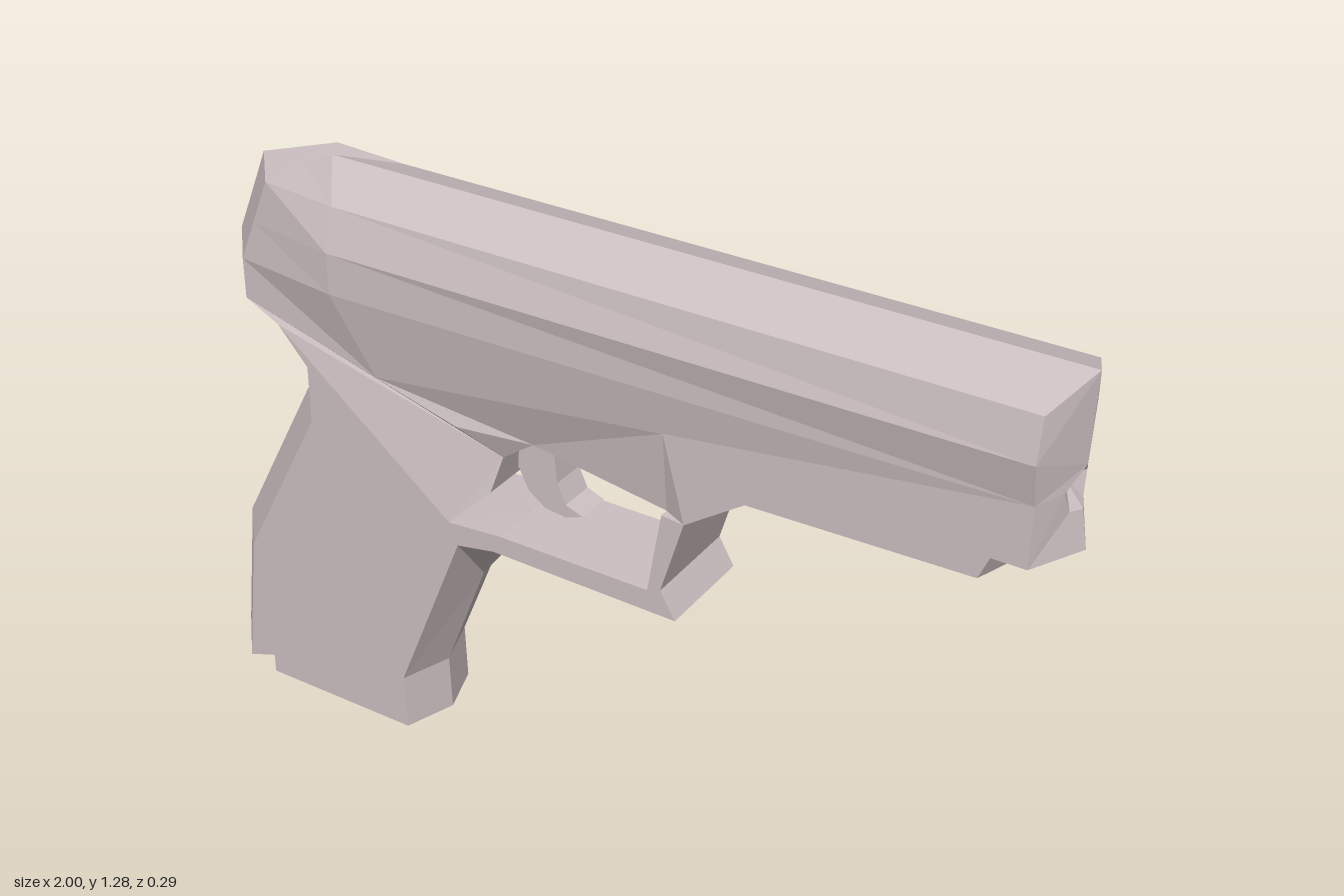
import * as THREE from 'three';

const W = 0.115; // half thickness of the flat frame
const material = new THREE.MeshStandardMaterial({ color: 0xccbfc1, flatShading: true, side: THREE.DoubleSide });

// Mesh from polygons of the +z half, mirrored to the other side
function halfMesh(name, faces) {
  const pos = [];
  for (const f of faces) {
    for (let i = 1; i < f.length - 1; i++) {
      const [a, b, c] = [f[0], f[i], f[i + 1]];
      pos.push(...a, ...b, ...c);
      for (const p of [a, c, b]) pos.push(p[0], p[1], -p[2]);
    }
  }
  const geo = new THREE.BufferGeometry();
  geo.setAttribute('position', new THREE.Float32BufferAttribute(pos, 3));
  geo.computeVertexNormals();
  const mesh = new THREE.Mesh(geo, material);
  mesh.name = name;
  return mesh;
}

// Plate from a counter-clockwise outline of [x, y, dx, dy, halfWidth];
// dx, dy shift the centre line to make wedge-shaped edges. The first n edges get walls.
function plateFaces(outline, n) {
  const side = outline.map(([x, y, , , w = W]) => [x, y, w]);
  const mid = outline.map(([x, y, dx = 0, dy = 0]) => [x + dx, y + dy, 0]);
  const flat = outline.map(([x, y]) => new THREE.Vector2(x, y));
  const faces = THREE.ShapeUtils.triangulateShape(flat, []).map((t) => t.map((i) => side[i]));
  for (let i = 0; i < n; i++) {
    const j = (i + 1) % outline.length;
    faces.push([side[i], mid[i], mid[j], side[j]]);
  }
  return faces;
}

function slideFaces() {
  // Cross-sections from ridge down to the lower crease: rear, body start, muzzle
  const rings = [
    [[-0.73, 1.25, 0], [-0.73, 1.25, W], [-0.772, 1.15, W], [-0.81, 1.06, W], [-0.81, 0.97, W]],
    [[-0.65, 1.285, 0], [-0.56, 1.24, 0.12], [-0.56, 1.15, 0.147], [-0.56, 1.06, 0.147], [-0.48, 0.88, W]],
    [[0.985, 1.285, 0], [0.94, 1.24, 0.12], [0.94, 1.15, 0.135], [0.94, 1.06, W], [0.94, 1.06, W]],
  ];
  const faces = [];
  for (let i = 0; i < 2; i++) {
    for (let j = 0; j < 4; j++) {
      faces.push([rings[i][j], rings[i][j + 1], rings[i + 1][j + 1], rings[i + 1][j]]);
    }
  }
  // Wedge-shaped rear
  const spine = (p) => [p[0] - 0.1, p[1], 0];
  const rear = rings[0];
  for (let j = 1; j < 4; j++) faces.push([spine(rear[j]), spine(rear[j + 1]), rear[j + 1], rear[j]]);
  faces.push([spine(rear[1]), rear[1], rear[0]]);
  // Muzzle face with its small recess
  const [T, a, b, c] = rings[2];
  const d = [0.94, 0.93, W], e = [1, 0.93, 0];
  const f = [0.985, 1.01, 0], g = [0.972, 1.015, 0.03], h = [0.966, 1.06, 0.05], i = [0.983, 1.1, 0];
  const deep = [0.945, 1.06, 0];
  faces.push([T, a, b, i], [i, b, c, h], [h, c, d, g], [g, d, e, f], [i, h, deep], [deep, h, g, f]);
  return faces;
}

export function createModel() {
  const model = new THREE.Group();
  model.name = 'pistol';

  model.add(halfMesh('slide', slideFaces()));

  // Grip with wedge-shaped back and front straps
  const grip = plateFaces([
    [-0.81, 0.97, -0.1], [-0.73, 0.93, -0.1], [-0.66, 0.85, -0.1], [-0.66, 0.72, -0.1],
    [-0.86, 0.34, -0.1], [-0.9, 0.02, -0.1], [-0.83, 0.045, -0.095, -0.02], [-0.83, 0, -0.095],
    [-0.45, 0, 0.04], [-0.455, 0.13, 0.04], [-0.29, 0.54, -0.02, -0.14], [-0.31, 0.59, 0.12, 0.01],
    [-0.22, 0.68, 0, 0, 0.09], [-0.2, 0.76, 0, 0, 0.07], [-0.29, 0.82, 0, 0, 0.105], [-0.48, 0.88],
  ], 13);
  // Undercut between grip and guard
  const under = [-0.31, 0.4, 0], lip = [-0.2, 0.557, W];
  grip.push([[-0.29, 0.54, W], under, lip], [under, [-0.2, 0.557, 0], lip]);
  model.add(halfMesh('grip', grip));

  // Frame: tapered trigger housing, panel over the guard, dust cover
  model.add(halfMesh('frame', [
    ...plateFaces([
      [-0.2, 0.76, 0, 0, 0.07], [-0.12, 0.82, 0, 0, 0.08], [-0.12, 0.926], [-0.48, 0.88],
      [-0.29, 0.82, 0, 0, 0.105],
    ], 1),
    ...plateFaces([[-0.12, 0.82, 0, 0, 0.08], [0.2, 0.785, 0, 0, 0.095], [0.2, 0.966], [-0.12, 0.926]], 1),
    ...plateFaces([
      [0.2, 0.785, 0, 0, 0.095], [0.25, 0.78], [0.38, 0.87], [0.85, 0.88, 0.04], [0.87, 0.93, 0.04],
      [0.94, 0.93, 0.06], [0.94, 1.06], [0.2, 0.966],
    ], 5),
  ]));

  model.add(halfMesh('triggerGuard', plateFaces([
    [-0.29, 0.54], [-0.2, 0.557], [0.235, 0.55], [0.2, 0.61], [0.25, 0.78], [0.2, 0.785],
    [0.17, 0.6], [-0.18, 0.6], [-0.31, 0.59],
  ], 8)));

  // Curved trigger
  const t = [
    [-0.18, 0.8], [-0.185, 0.73], [-0.16, 0.68], [-0.12, 0.65], [-0.07, 0.645], [-0.03, 0.66],
    [-0.07, 0.675], [-0.09, 0.72], [-0.1, 0.825],
  ].map(([x, y]) => [x, y, 0, 0, 0.04]);
  model.add(halfMesh('trigger', plateFaces(t, t.length)));

  return model;
}
